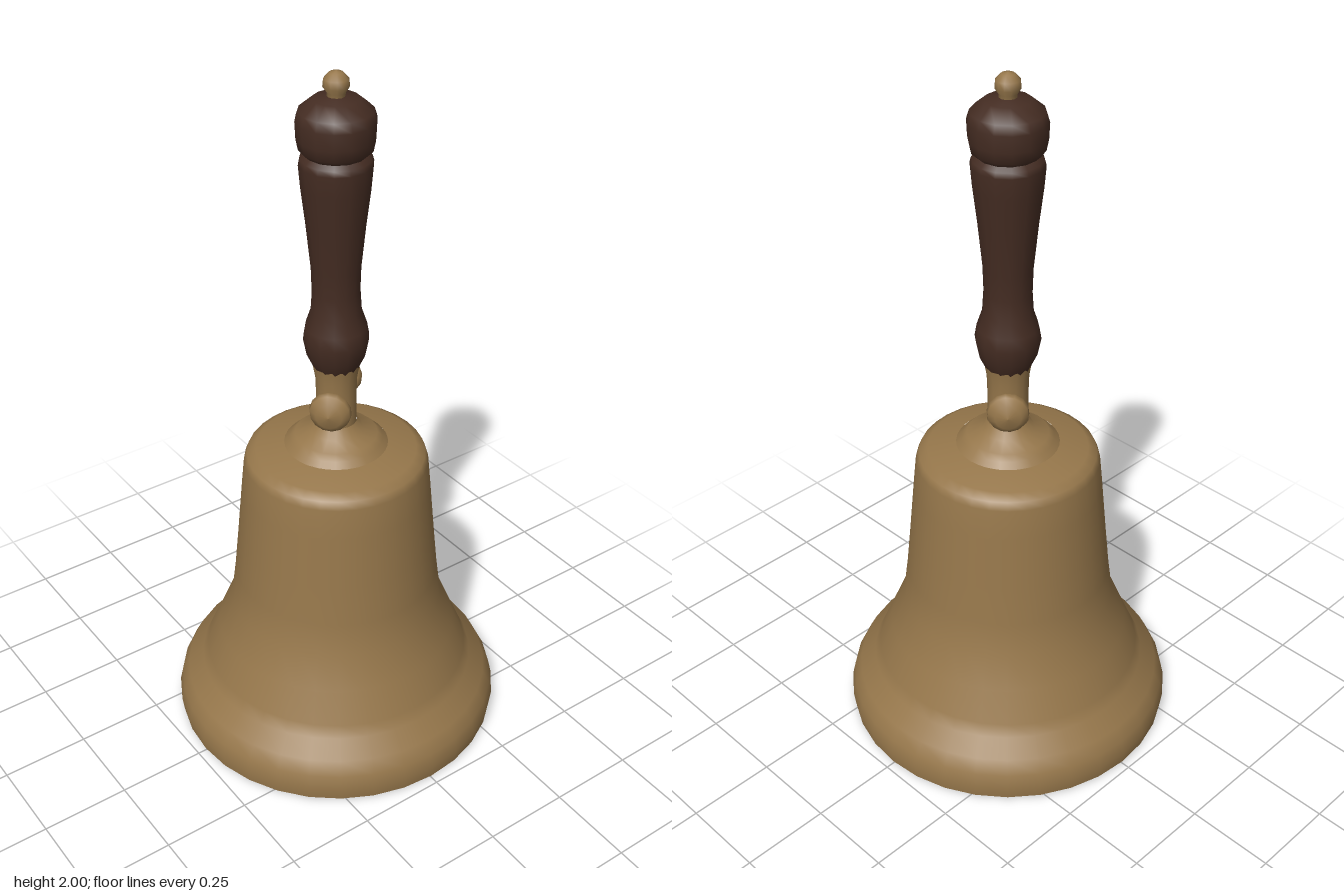
import * as THREE from 'three';

export function createModel() {
  const brass = new THREE.MeshStandardMaterial({ color: 0x96774b });
  brass.name = 'brass';
  const wood = new THREE.MeshStandardMaterial({ color: 0x442c22 });
  wood.name = 'dark wood';

  const group = new THREE.Group();
  group.name = 'handBell';

  // Turned part from [radius, height] points, listed bottom to top
  const turned = (name, points, segments, material, parent = group) => {
    const profile = points.map(([r, y]) => new THREE.Vector2(r, y));
    const mesh = new THREE.Mesh(new THREE.LatheGeometry(profile, segments), material);
    mesh.name = name;
    parent.add(mesh);
    return mesh;
  };

  // Bell: outer skin with flared lip, hollow inside, and rim between them
  turned('bellOuter', [
    [0.475, 0.01], [0.48, 0.05], [0.471, 0.09], [0.45, 0.13], [0.405, 0.175], [0.388, 0.21],
    [0.35, 0.3], [0.308, 0.4], [0.295, 0.5], [0.283, 0.62], [0.268, 0.78],
    [0.259, 0.87], [0.25, 0.893], [0.225, 0.908], [0.145, 0.925],
  ], 32, brass);
  turned('bellInner', [
    [0, 0.87], [0.2, 0.86], [0.235, 0.82], [0.255, 0.62], [0.28, 0.42],
    [0.36, 0.22], [0.42, 0.11], [0.455, 0.01],
  ], 32, brass);
  turned('bellRim', [[0.455, 0.01], [0.465, 0.004], [0.475, 0.01]], 32, brass);

  // Crown and collar that hold the handle
  turned('crown', [
    [0.15, 0.92], [0.13, 0.94], [0.115, 0.955], [0.075, 0.972], [0.058, 1.0],
  ], 20, brass);
  turned('collar', [[0.058, 0.96], [0.056, 1.08], [0.058, 1.14], [0.065, 1.18]], 16, brass);

  // Cross bolt with a rounded knob at each end, set diagonally
  for (const side of [1, -1]) {
    const knob = turned(side > 0 ? 'frontBoltKnob' : 'backBoltKnob', [
      [0.025, 0], [0.025, 0.07], [0.048, 0.078], [0.058, 0.092],
      [0.055, 0.108], [0.036, 0.124], [0, 0.131],
    ], 14, brass);
    knob.position.y = 1.08;
    knob.quaternion.setFromUnitVectors(
      new THREE.Vector3(0, 1, 0),
      new THREE.Vector3(side, 0, side).normalize()
    );
  }

  // Turned wooden grip and its end cap
  turned('handleGrip', [
    [0, 1.14], [0.052, 1.145], [0.066, 1.18], [0.08, 1.21], [0.09, 1.26], [0.084, 1.295],
    [0.069, 1.34], [0.065, 1.4], [0.067, 1.47], [0.08, 1.6], [0.092, 1.7],
    [0.097, 1.76], [0.093, 1.775], [0.08, 1.787],
  ], 14, wood);
  turned('handleCap', [
    [0.08, 1.785], [0.096, 1.8], [0.102, 1.83], [0.104, 1.875], [0.096, 1.9],
    [0.06, 1.93], [0, 1.94],
  ], 14, wood);

  // Small brass finial
  turned('finial', [
    [0.022, 1.92], [0.024, 1.945], [0.034, 1.96], [0.032, 1.98], [0.018, 1.995], [0, 2.0],
  ], 12, brass);

  // Clapper hanging inside
  const clapper = new THREE.Group();
  clapper.name = 'clapper';
  group.add(clapper);
  turned('clapperBall', [
    [0, 0.012], [0.032, 0.022], [0.06, 0.05], [0.07, 0.09], [0.06, 0.13],
    [0.04, 0.165], [0.018, 0.195],
  ], 16, brass, clapper);
  turned('clapperRod', [[0.018, 0.18], [0.016, 0.88]], 10, brass, clapper);

  return group;
}
